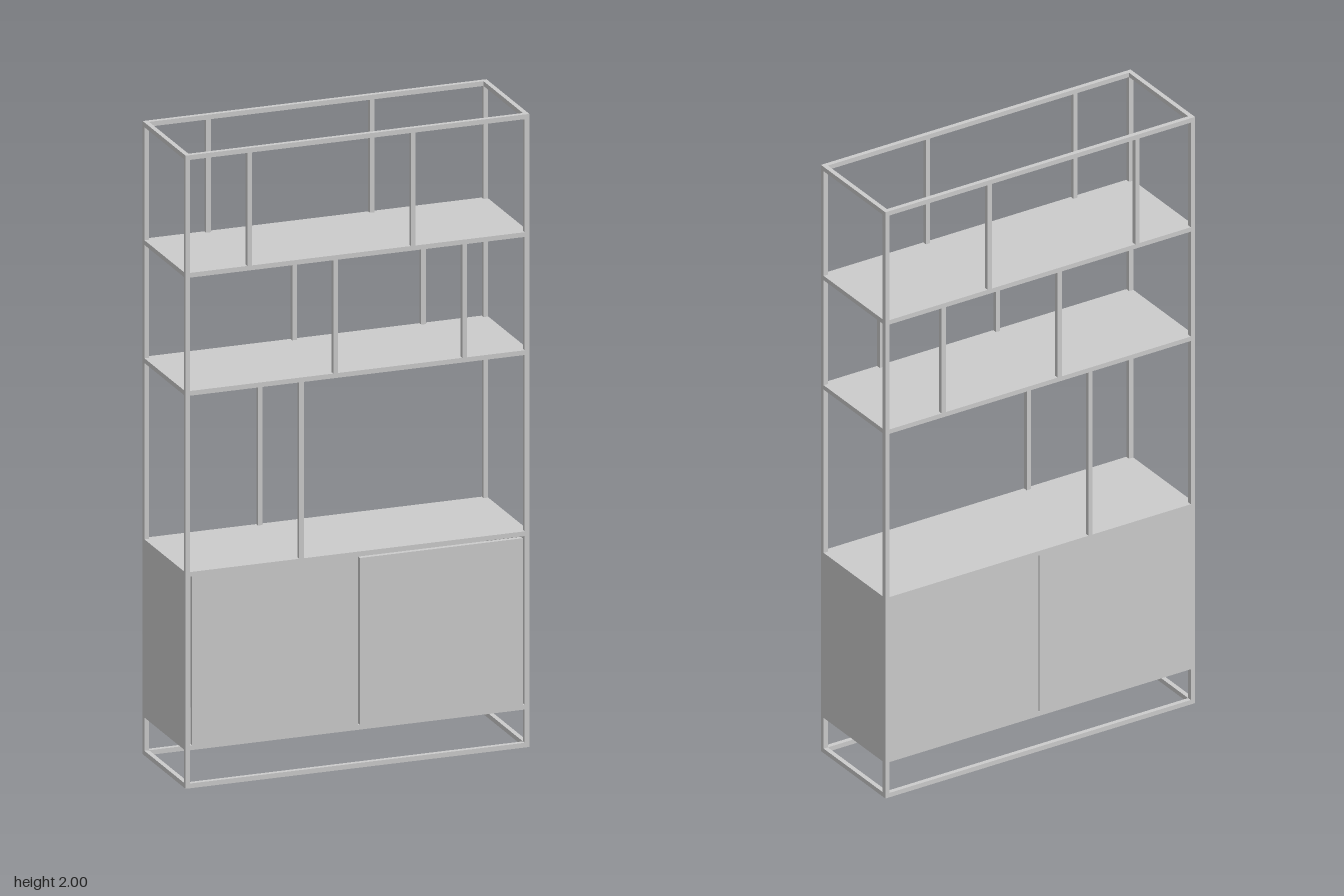
import * as THREE from 'three';

const W = 1.106, H = 2, D = 0.356, T = 0.015; // overall size and bar thickness
const X = W / 2 - T / 2, Z = D / 2 - T / 2;   // bar centre lines

export function createModel() {
  const model = new THREE.Group();
  const material = new THREE.MeshStandardMaterial({ color: 0xcccccc });

  const group = (name) => {
    const g = new THREE.Group();
    g.name = name;
    model.add(g);
    return g;
  };
  // Box given by its lower and upper limits on each axis
  const block = (parent, name, [x0, x1], [y0, y1], [z0, z1]) => {
    const mesh = new THREE.Mesh(new THREE.BoxGeometry(x1 - x0, y1 - y0, z1 - z0), material);
    mesh.position.set((x0 + x1) / 2, (y0 + y1) / 2, (z0 + z1) / 2);
    mesh.name = name;
    parent.add(mesh);
  };
  const around = (c) => [c - T / 2, c + T / 2];
  const innerX = [-X + T / 2, X - T / 2], innerZ = [-Z + T / 2, Z - T / 2];

  // Corner posts
  const frame = group('frame');
  for (const x of [-X, X]) for (const z of [-Z, Z]) block(frame, 'cornerPost', around(x), [0, H], around(z));

  // Open rings of bars at the floor and the top
  for (const y of [0, H - T]) {
    for (const z of [-Z, Z]) block(frame, 'longBar', innerX, [y, y + T], around(z));
    for (const x of [-X, X]) block(frame, 'shortBar', around(x), [y, y + T], innerZ);
  }

  // Shelves: a board rimmed by bars between the posts
  const levels = [0.12, 0.668, 1.24, 1.613];
  const shelves = group('shelves');
  for (const y of levels) {
    block(shelves, 'shelfBoard', innerX, [y, y + T], innerZ);
    for (const z of [-Z, Z]) block(shelves, 'shelfLongBar', innerX, [y, y + T], around(z));
    for (const x of [-X, X]) block(shelves, 'shelfShortBar', around(x), [y, y + T], innerZ);
  }

  // Thin uprights, paired front and back, staggered from row to row
  const dividers = group('dividers');
  const rows = [
    { y: [levels[1] + T, levels[2]], xs: [-0.18] },
    { y: [levels[2] + T, levels[3]], xs: [-0.07, 0.345] },
    { y: [levels[3] + T, H - T], xs: [-0.347, 0.18] },
  ];
  for (const { y, xs } of rows)
    for (const x of xs) for (const z of [-Z, Z]) block(dividers, 'divider', around(x), y, around(z));

  // Closed cabinet between the two lowest shelves
  const cabinet = group('cabinet');
  const cy = [levels[0] + T, levels[1]];
  for (const s of [-1, 1]) {
    const outer = s * W / 2, inner = s * (W / 2 - 0.012);
    block(cabinet, 'sidePanel', [Math.min(outer, inner), Math.max(outer, inner)], cy, innerZ);
  }
  block(cabinet, 'middleWall', [-0.003, 0.013], cy, [innerZ[0], innerZ[1] - 0.005]);

  // Two doors with narrow gaps, and two back panels meeting at a seam
  const gap = 0.006;
  const doorY = [cy[0], cy[1] - gap];
  block(cabinet, 'rightDoor', [innerX[0] + gap, 0.002], [cy[0], cy[1]], [Z - T / 2, D / 2]);
  block(cabinet, 'leftDoor', [0.002 + gap, innerX[1] - gap], doorY, [Z - T / 2, D / 2]);
  block(cabinet, 'rightBackPanel', [innerX[0], 0.002], cy, [-D / 2, -Z + T / 2]);
  block(cabinet, 'leftBackPanel', [0.007, innerX[1]], cy, [-D / 2, -Z + T / 2]);

  return model;
}
